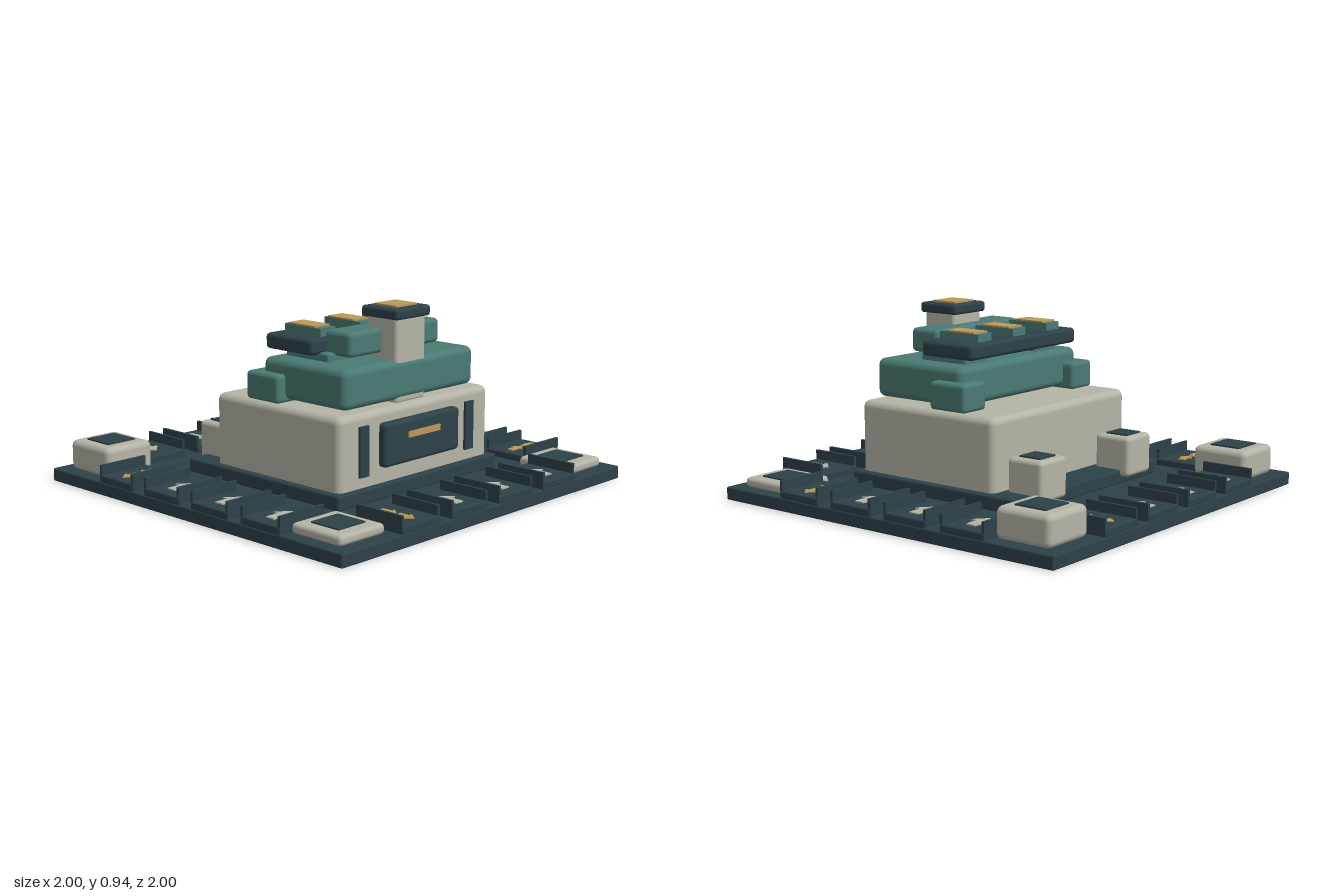
import * as THREE from 'three';
import { RoundedBoxGeometry } from 'three/addons/geometries/RoundedBoxGeometry.js';

const material = (name, color) => {
  const m = new THREE.MeshStandardMaterial({ color });
  m.name = name;
  return m;
};

export function createModel() {
  const dark = material('dark slate', 0x2d4148);
  const stone = material('warm stone', 0xb4b4a6);
  const teal = material('teal', 0x4a7a73);
  const gold = material('gold', 0xbd995b);

  const model = new THREE.Group();
  model.name = 'fortifiedStation';

  // Box given by its extents [min, max] along each axis; r rounds the edges
  function box(name, mat, [x0, x1], [y0, y1], [z0, z1], r = 0, parent = model) {
    const w = x1 - x0, h = y1 - y0, d = z1 - z0;
    const geo = r ? new RoundedBoxGeometry(w, h, d, 3, r) : new THREE.BoxGeometry(w, h, d);
    const mesh = new THREE.Mesh(geo, mat);
    mesh.name = name;
    mesh.position.set((x0 + x1) / 2, (y0 + y1) / 2, (z0 + z1) / 2);
    parent.add(mesh);
    return mesh;
  }
  const around = (c, half) => [c - half, c + half];

  // Flat arrow lying on a tile; dir 1 points to +z, -1 to -z
  function arrow(name, mat, x, z, dir, length, width, parent) {
    const l = length / 2, w = width / 2, s = width * 0.23, neck = length * 0.03;
    const shape = new THREE.Shape([
      [-s, l], [-s, -neck], [-w, -neck], [0, -l], [w, -neck], [s, -neck], [s, l],
    ].map(([a, b]) => new THREE.Vector2(a, b)));
    const geo = new THREE.ExtrudeGeometry(shape, { depth: 0.006, bevelEnabled: false });
    geo.rotateX(-Math.PI / 2);
    const mesh = new THREE.Mesh(geo, mat);
    mesh.name = name;
    mesh.rotation.y = dir > 0 ? 0 : Math.PI;
    mesh.position.set(x, 0.1, z);
    parent.add(mesh);
  }

  // Ground slab and plinth
  box('baseSlab', dark, [-1, 1], [0, 0.065], [-1, 1], 0.008);
  box('plinth', dark, [-0.565, 0.565], [0.06, 0.133], [-0.47, 0.56], 0.012);

  // Four edges of the slab, each with four walled arrow tiles
  for (let side = 0; side < 4; side++) {
    const edge = new THREE.Group();
    edge.name = 'tileEdge';
    edge.rotation.y = side * Math.PI / 2;
    model.add(edge);
    [-0.5, -0.167, 0.167, 0.5].forEach((x, i) => {
      box('tile', dark, around(x, 0.125), [0.06, 0.1], [0.715, 0.998], 0.008, edge);
      for (const s of [-1, 1]) {
        box('tileFin', dark, around(x + s * 0.118, 0.007), [0.06, 0.148], [0.725, 0.995], 0, edge);
      }
      if (i === 0) {
        arrow('exitArrow', gold, x, 0.806, 1, 0.096, 0.072, edge);
        arrow('exitArrow', gold, x, 0.908, 1, 0.096, 0.072, edge);
      } else {
        arrow('entryArrow', stone, x, 0.865, -1, 0.14, 0.112, edge);
      }
    });
  }

  // Corner pads, low at the front and tall at the back, and two rear posts
  for (const s of [-1, 1]) {
    const x = s * 0.798;
    box('frontCornerPad', stone, around(x, 0.14), [0.062, 0.112], around(0.782, 0.15), 0.02);
    box('frontCornerInset', dark, around(x, 0.083), [0.108, 0.119], around(0.782, 0.083));
    box('backCornerPad', stone, around(x, 0.14), [0.062, 0.212], around(-0.785, 0.15), 0.03);
    box('backCornerInset', dark, around(x, 0.083), [0.208, 0.219], around(-0.785, 0.083));
    box('rearPost', stone, around(s * 0.35, 0.1), [0.1, 0.297], around(-0.418, 0.1), 0.022);
    box('rearPostInset', dark, around(s * 0.35, 0.06), [0.293, 0.304], around(-0.418, 0.06));
  }

  // Main body with front panel and slits
  box('mainBody', stone, [-0.53, 0.53], [0.07, 0.483], [-0.3, 0.53], 0.035);
  box('frontPanel', dark, [-0.265, 0.265], [0.21, 0.42], [0.5, 0.572], 0.02);
  box('frontLight', gold, [-0.112, 0.112], [0.333, 0.362], [0.572, 0.581]);
  for (const s of [-1, 1]) {
    box('frontSlit', dark, around(s * 0.374, 0.03), [0.185, 0.425], [0.5, 0.543]);
  }

  // Teal deck with side pods
  box('deck', teal, [-0.457, 0.457], [0.495, 0.685], [-0.047, 0.495], 0.035);
  for (const s of [-1, 1]) {
    box('sidePod', teal, around(s * 0.427, 0.082), [0.48, 0.617], around(0, 0.109), 0.02);
    box('upperSupport', teal, around(s * 0.273, 0.083), [0.675, 0.725], [0.01, 0.29], 0.012);
  }

  // Upper block and rear beam carrying three lamps
  box('upperBlock', teal, [-0.315, 0.315], [0.71, 0.828], [0.225, 0.392], 0.022);
  box('beam', dark, [-0.413, 0.413], [0.714, 0.79], [-0.075, 0.238], 0.02);
  for (const x of [-0.268, 0, 0.268]) {
    box('lampHousing', teal, around(x, 0.05), [0.78, 0.828], [-0.036, 0.203]);
    box('lampLight', gold, around(x, 0.05), [0.828, 0.836], [-0.012, 0.162]);
  }

  // Tower column with cap
  box('towerColumn', stone, [-0.104, 0.104], [0.475, 0.89], [0.295, 0.488], 0.018);
  box('towerCap', dark, [-0.12, 0.12], [0.876, 0.928], [0.275, 0.505], 0.015);
  box('towerLight', gold, [-0.073, 0.073], [0.928, 0.937], [0.318, 0.457]);

  return model;
}
